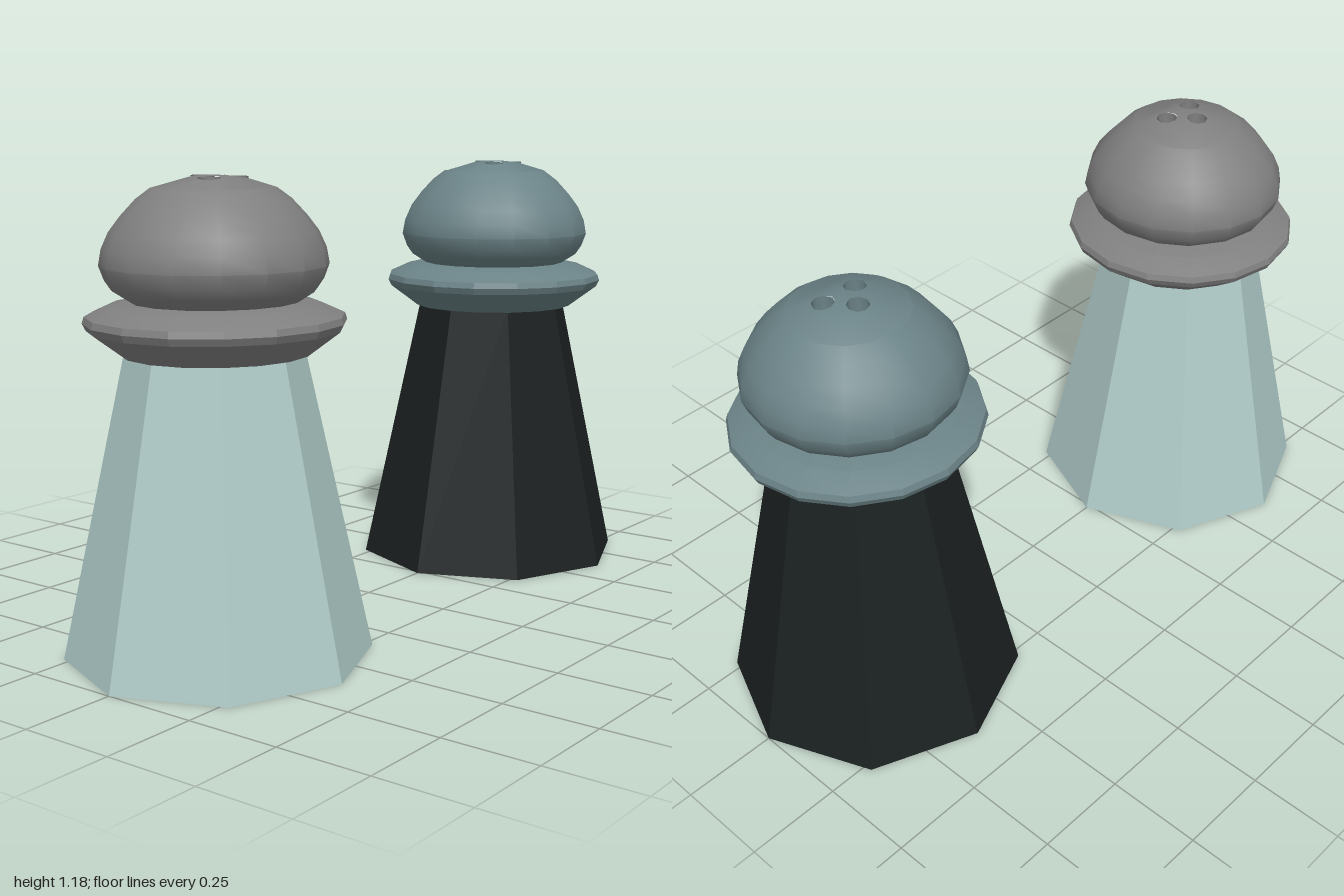
import * as THREE from 'three';
import { toCreasedNormals } from 'three/addons/utils/BufferGeometryUtils.js';

const SIDES = 16;
const CROWN_R = 0.15, CROWN_Y = 1.148, CROWN_H = 0.03;
const HOLE_R = 0.028, HOLE_SIDES = 8, HOLE_DEPTH = 0.04;
const HOLES = [[0, -0.035], [-0.048, 0.03], [0.048, 0.03]];

const crownY = (x, z) => CROWN_Y + CROWN_H * (1 - (x * x + z * z) / (CROWN_R * CROWN_R));

function lathe(points, crease) {
  const geo = new THREE.LatheGeometry(points.map(([r, y]) => new THREE.Vector2(r, y)), SIDES);
  return toCreasedNormals(geo, crease);
}

function ring(cx, cz, r, n) {
  return Array.from({ length: n }, (_, i) => {
    const a = (i / n) * Math.PI * 2;
    return new THREE.Vector2(cx + r * Math.cos(a), -cz + r * Math.sin(a));
  });
}

// Gently domed disc pierced by the pouring holes
function crownGeometry() {
  const shape = new THREE.Shape(ring(0, 0, CROWN_R, SIDES));
  for (const [x, z] of HOLES) shape.holes.push(new THREE.Path(ring(x, z, HOLE_R, HOLE_SIDES)));
  const geo = new THREE.ShapeGeometry(shape).rotateX(-Math.PI / 2);
  const pos = geo.attributes.position, nor = geo.attributes.normal;
  const n = new THREE.Vector3();
  for (let i = 0; i < pos.count; i++) {
    const x = pos.getX(i), z = pos.getZ(i);
    pos.setY(i, crownY(x, z));
    n.set(x * 3.5, 1, z * 3.5).normalize();
    nor.setXYZ(i, n.x, n.y, n.z);
  }
  return geo;
}

function add(parent, name, geo, material) {
  const mesh = new THREE.Mesh(geo, material);
  mesh.name = name;
  parent.add(mesh);
  return mesh;
}

function makeShaker(name, bodyColor, capColor) {
  const shaker = new THREE.Group();
  shaker.name = name;
  const bodyMat = new THREE.MeshStandardMaterial({ color: bodyColor, flatShading: true });
  const capMat = new THREE.MeshStandardMaterial({ color: capColor });
  const wallMat = new THREE.MeshStandardMaterial({ color: capColor, side: THREE.DoubleSide });

  // Tapered octagonal body
  add(shaker, 'body', new THREE.CylinderGeometry(0.217, 0.382, 0.76, 8).translate(0, 0.38, 0), bodyMat);

  const cap = new THREE.Group();
  cap.name = 'cap';
  cap.position.set(-0.004, 0, 0.007);
  shaker.add(cap);

  // Flared collar
  add(cap, 'collar', lathe([
    [0, 0.752], [0.228, 0.752], [0.308, 0.812], [0.317, 0.83], [0.312, 0.846], [0.255, 0.872], [0.2, 0.88],
  ], 0.3), capMat);

  // Rounded dome with a pinched neck
  add(cap, 'dome', lathe([
    [0.2, 0.877], [0.245, 0.906], [0.262, 0.931], [0.275, 0.966], [0.268, 1.005],
    [0.25, 1.045], [0.222, 1.082], [0.185, 1.122], [CROWN_R, CROWN_Y],
  ], 0.6), capMat);
  add(cap, 'crown', crownGeometry(), capMat);

  // Pouring holes sunk into the crown
  for (const [x, z] of HOLES) {
    const hole = new THREE.Group();
    hole.name = 'pouringHole';
    hole.position.set(x, crownY(x, z), z);
    cap.add(hole);
    const wall = new THREE.CylinderGeometry(HOLE_R, HOLE_R, HOLE_DEPTH, HOLE_SIDES, 1, true);
    add(hole, 'holeWall', wall.translate(0, -HOLE_DEPTH / 2, 0), wallMat);
    const floor = new THREE.CircleGeometry(HOLE_R, HOLE_SIDES).rotateX(-Math.PI / 2);
    add(hole, 'holeFloor', floor.translate(0, -HOLE_DEPTH, 0), capMat);
  }
  return shaker;
}

export function createModel() {
  const model = new THREE.Group();
  model.name = 'shakerSet';
  const light = makeShaker('lightShaker', 0xafcbc8, 0x808080);
  const dark = makeShaker('darkShaker', 0x1b2021, 0x6b8387);
  light.position.x = -0.618;
  dark.position.x = 0.618;
  model.add(light, dark);
  return model;
}
